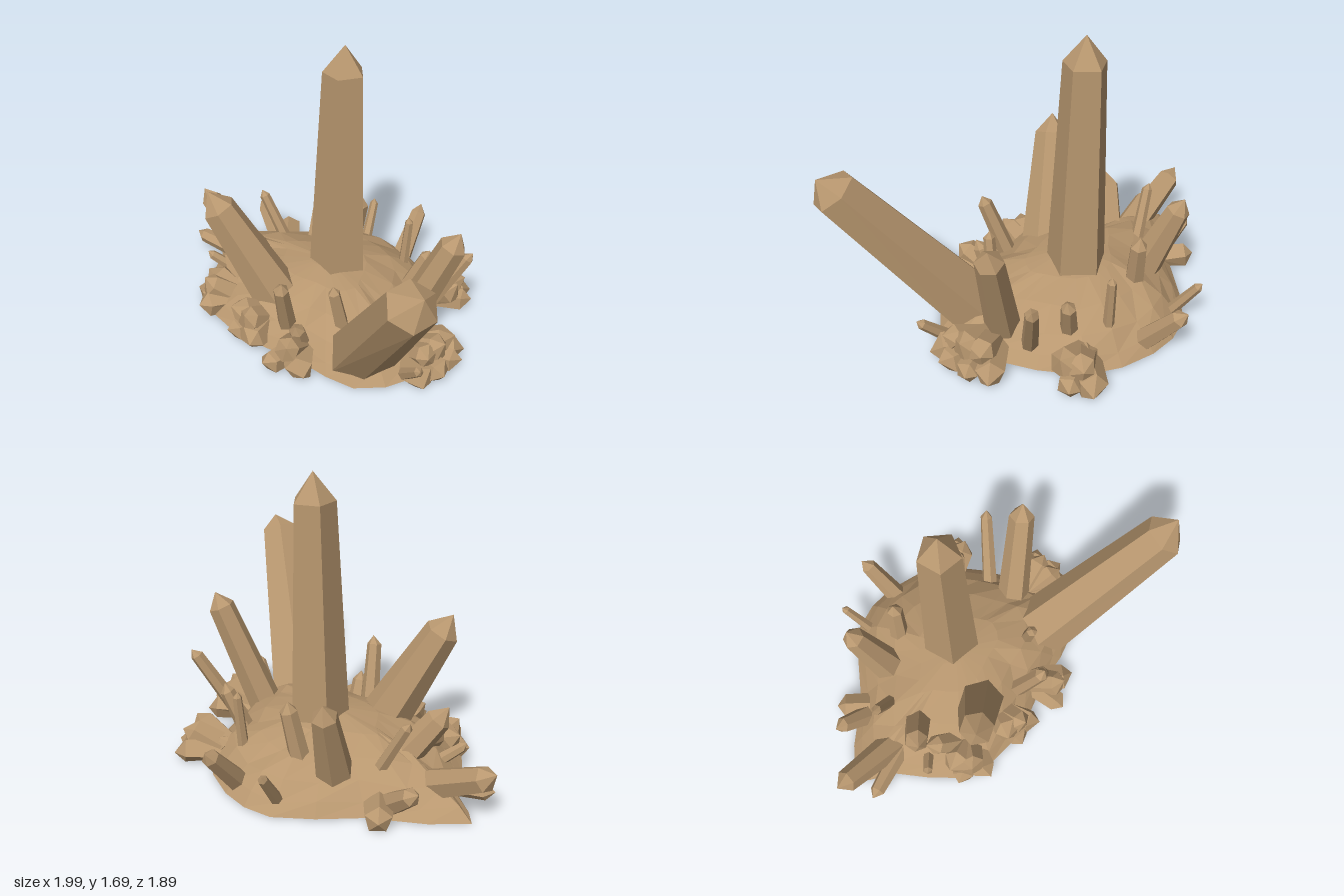
import * as THREE from 'three';
import { mergeGeometries } from 'three/addons/utils/BufferGeometryUtils.js';

const stone = new THREE.MeshStandardMaterial({ color: 0xb8976f, flatShading: true, side: THREE.DoubleSide });
stone.name = 'tan stone';

// Faceted crystal from base centre to tip: tapered shaft plus a pointed cap
function crystal(name, base, tip, rBase, rTop, { sides = 6, cap = rTop * 1.2, phase = 0.3, skew = 0 } = {}) {
  const a = new THREE.Vector3(...base), axis = new THREE.Vector3(...tip).sub(a), length = axis.length();
  const shaft = new THREE.CylinderGeometry(rTop, rBase, length - cap, sides);
  shaft.translate(0, (length - cap) / 2, 0);
  const point = new THREE.ConeGeometry(rTop, cap, sides, 1, true);
  point.translate(0, length - cap / 2, 0);
  const geo = mergeGeometries([shaft, point]);
  const p = geo.attributes.position;
  // Push the apex off centre for an uneven point
  for (let i = 0; i < p.count; i++) if (p.getY(i) > length - 1e-4) p.setX(i, p.getX(i) + skew * rTop);
  geo.rotateY(phase);
  geo.applyQuaternion(new THREE.Quaternion().setFromUnitVectors(new THREE.Vector3(0, 1, 0), axis.normalize()));
  geo.translate(...base);
  // Cut everything off at the ground
  for (let i = 0; i < p.count; i++) p.setY(i, Math.max(p.getY(i), 0.005));
  const mesh = new THREE.Mesh(geo, stone);
  mesh.name = name;
  return mesh;
}

// Hollow rocky mound: one irregular outline shrunk into rising rings
function mound() {
  const corners = [
    [-0.88, -0.52], [-0.36, -0.68], [0.1, -0.86], [0.42, -0.76], [0.7, -0.45], [0.76, 0.05],
    [0.76, 0.3], [0.48, 0.5], [0.12, 0.42], [-0.32, 0.35], [-0.65, 0.12], [-0.76, -0.32]];
  const curve = new THREE.CatmullRomCurve3(corners.map(([x, z]) => new THREE.Vector3(x, 0, z)), true);
  const n = 24, outline = curve.getPoints(n).slice(0, n);
  const rings = [[1, 0.01], [0.92, 0.075], [0.8, 0.155], [0.6, 0.23], [0.35, 0.29], [0.12, 0.315], [0, 0.32]];
  const cx = 0.05, cz = -0.16, pos = [], index = [];
  rings.forEach(([s, y], r) => outline.forEach(({ x, z }, i) => {
    // Lower shoulder toward the left, slight unevenness on the flanks
    const bump = r > 0 && s > 0.5 ? 0.012 * Math.sin(i * 2.3 + r * 1.7) : 0;
    const sag = x < cx ? 1 - 0.2 * s * (cx - x) : 1;
    pos.push(cx + (x - cx) * s, y * sag + bump, cz + (z - cz) * s);
    if (r === rings.length - 1) return;
    const j = (i + 1) % n, a = r * n + i, b = r * n + j;
    index.push(a, a + n, b, b, a + n, b + n);
  }));
  const geo = new THREE.BufferGeometry();
  geo.setAttribute('position', new THREE.Float32BufferAttribute(pos, 3));
  geo.setIndex(index);
  geo.computeVertexNormals();
  const mesh = new THREE.Mesh(geo, stone);
  mesh.name = 'rockMound';
  return mesh;
}

// Fan of stubby, blunt crystals spreading along the ground from one root
function bunch(x, z, angle, spread, reach, count) {
  const group = new THREE.Group();
  group.name = 'edgeBunch';
  for (let i = 0; i < count; i++) {
    const t = angle + spread * (i / (count - 1) - 0.5), high = i % 2;
    const d = reach * (high ? 0.8 : 1), r = 0.105 - 0.01 * (i % 3);
    const tip = [x + d * Math.cos(t), high ? 0.19 : 0.065, z + d * Math.sin(t)];
    group.add(crystal('edgeCrystal', [x, 0.04, z], tip, r, r * 0.78,
      { sides: 5 + high, cap: r * 0.6, phase: i * 0.9, skew: 0.3 }));
  }
  return group;
}

export function createModel() {
  const model = new THREE.Group();
  model.name = 'crystalCluster';
  model.add(mound());

  // Main spires
  model.add(
    crystal('tallSpire', [0.115, 0.2, -0.21], [0.11, 1.69, -0.24], 0.18, 0.12, { sides: 5, cap: 0.155, phase: 0.08 }),
    crystal('leaningSpire', [0.44, 0.03, 0.27], [0.895, 1.09, 0.9], 0.205, 0.13, { cap: 0.12, phase: 0.45, skew: 0.2 }),
    crystal('leftSpire', [-0.14, 0.1, 0.07], [-0.55, 0.85, 0.17], 0.155, 0.1, { phase: 0.5 }),
    crystal('rightSpire', [0.57, 0.06, 0.06], [0.88, 0.84, 0], 0.105, 0.078),
    crystal('backSpire', [-0.13, 0.12, -0.54], [-0.16, 0.66, -0.76], 0.11, 0.07));

  // Middle-sized crystals: root x and z, tip x, y and z, root radius
  [
    [0.64, -0.12, 0.91, 0.56, -0.24, 0.05],
    [-0.02, 0.25, 0.01, 0.53, 0.42, 0.058],
    [0.33, 0.22, 0.26, 0.48, 0.27, 0.045],
    [-0.3, -0.45, -0.52, 0.49, -0.47, 0.042],
    [0.05, -0.54, 0.13, 0.54, -0.58, 0.065],
    [0.44, -0.5, 0.46, 0.5, -0.52, 0.034],
    [0.5, -0.3, 0.65, 0.43, -0.34, 0.055],
    [-0.36, -0.28, -0.64, 0.45, -0.17, 0.095],
    [-0.58, -0.36, -1, 0.33, -0.55, 0.092],
    [-0.6, -0.31, -0.96, 0.11, -0.36, 0.06],
    [-0.56, -0.14, -0.73, 0.2, -0.08, 0.038],
    [-0.44, 0.03, -0.58, 0.28, -0.13, 0.08],
    [0.38, -0.7, 0.43, 0.35, -0.92, 0.065],
    [0.1, -0.78, 0.1, 0.3, -0.94, 0.035],
    [-0.47, -0.59, -0.64, 0.24, -0.71, 0.065],
    [0.72, 0.34, 0.84, 0.23, 0.45, 0.037],
    [0.1, 0.34, 0.1, 0.27, 0.42, 0.06],
  ].forEach(([bx, bz, tx, ty, tz, r], i) =>
    model.add(crystal('crystal', [bx, 0.07, bz], [tx, ty, tz], r, r * 0.76, { phase: i * 0.7, skew: 0.2 })));

  // Stubby bunches along the front, left and right edges, and one lone stub behind
  model.add(
    bunch(0.08, 0.33, 1.55, 0.8, 0.28, 3),
    bunch(-0.17, 0.19, 2.05, 0.8, 0.28, 4),
    bunch(-0.44, 0.08, 2.8, 1, 0.26, 4),
    bunch(0.61, -0.41, -0.15, 0.8, 0.3, 4),
    bunch(0.64, 0.1, 0.3, 1.3, 0.35, 7),
    crystal('backStub', [-0.4, 0.04, -0.6], [-0.47, 0.07, -0.79], 0.085, 0.075, { sides: 5, cap: 0.05 }));

  return model;
}
